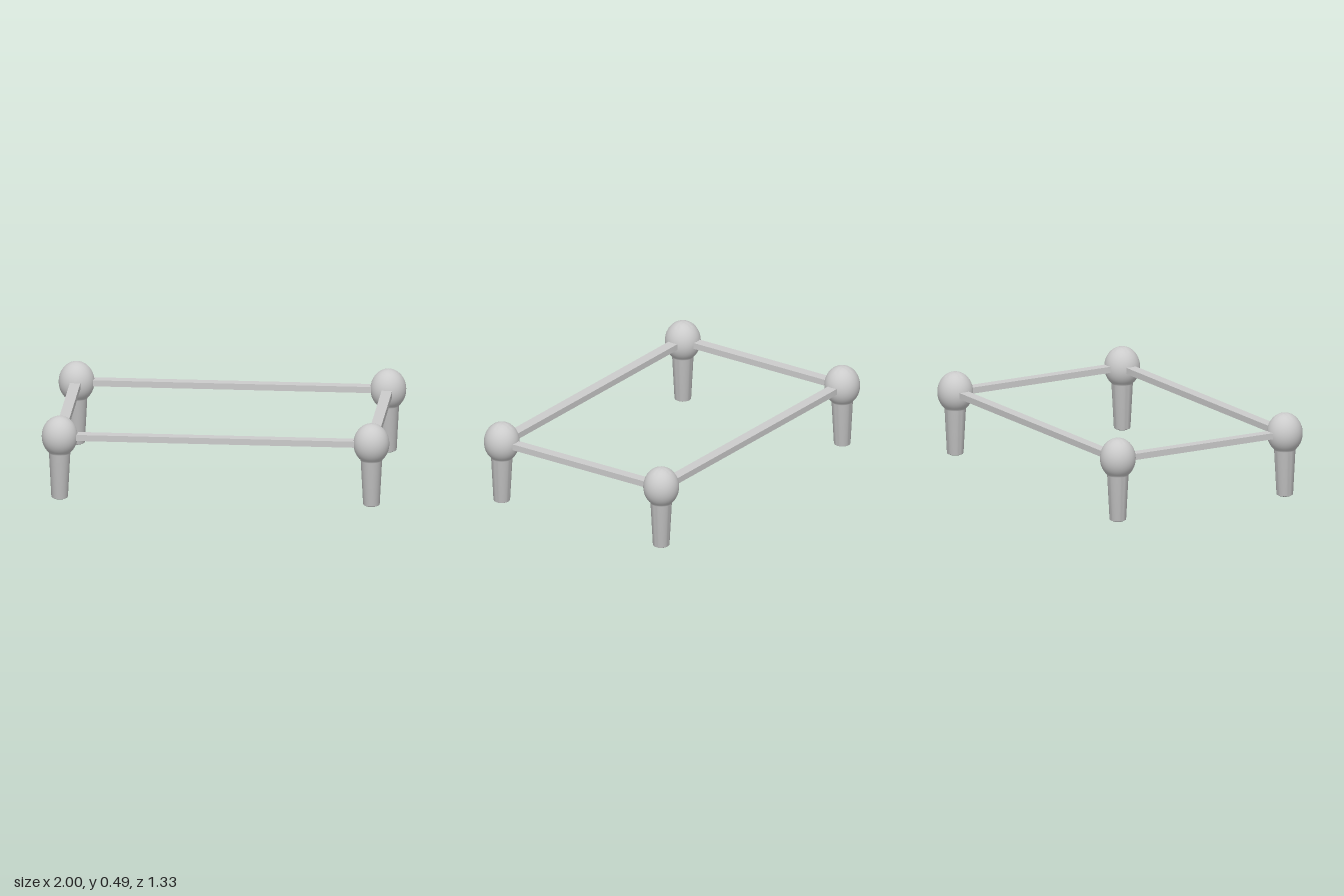
import * as THREE from 'three';
import { toCreasedNormals } from 'three/addons/utils/BufferGeometryUtils.js';

const X = 0.897, Z = 0.56, RAIL_Y = 0.375;

// Leg profile: shallow domed foot, tapered shaft, egg-shaped ball on top
function legGeometry() {
  const pts = [[0, 0], [0.016, 0.001], [0.032, 0.005], [0.046, 0.012], [0.048, 0.018], [0.0615, 0.275]]
    .map(([r, y]) => new THREE.Vector2(r, y));
  const start = -0.9, steps = 24;
  for (let i = 0; i <= steps; i++) {
    const a = start + (Math.PI / 2 - start) * i / steps;
    pts.push(new THREE.Vector2(i === steps ? 0 : 0.103 * Math.cos(a), RAIL_Y + 0.119 * Math.sin(a)));
  }
  return toCreasedNormals(new THREE.LatheGeometry(pts, 40), 0.6);
}

export function createModel() {
  const group = new THREE.Group();
  const material = new THREE.MeshStandardMaterial({ color: 0xcccccc });

  const add = (name, geometry, x, y, z) => {
    const mesh = new THREE.Mesh(geometry, material);
    mesh.name = name;
    mesh.position.set(x, y, z);
    group.add(mesh);
  };

  // Four corner legs
  const leg = legGeometry();
  for (const sx of [-1, 1]) {
    for (const sz of [-1, 1]) {
      add((sz > 0 ? 'front' : 'back') + (sx > 0 ? 'Left' : 'Right') + 'Leg', leg, sx * X, 0, sz * Z);
    }
  }

  // Flat rails joining the balls
  const longRail = new THREE.BoxGeometry(2 * X, 0.036, 0.063);
  const sideRail = new THREE.BoxGeometry(0.061, 0.036, 2 * Z);
  for (const s of [-1, 1]) {
    add(s > 0 ? 'frontRail' : 'backRail', longRail, 0, RAIL_Y, s * Z);
    add(s > 0 ? 'leftRail' : 'rightRail', sideRail, s * X, RAIL_Y, 0);
  }
  return group;
}
